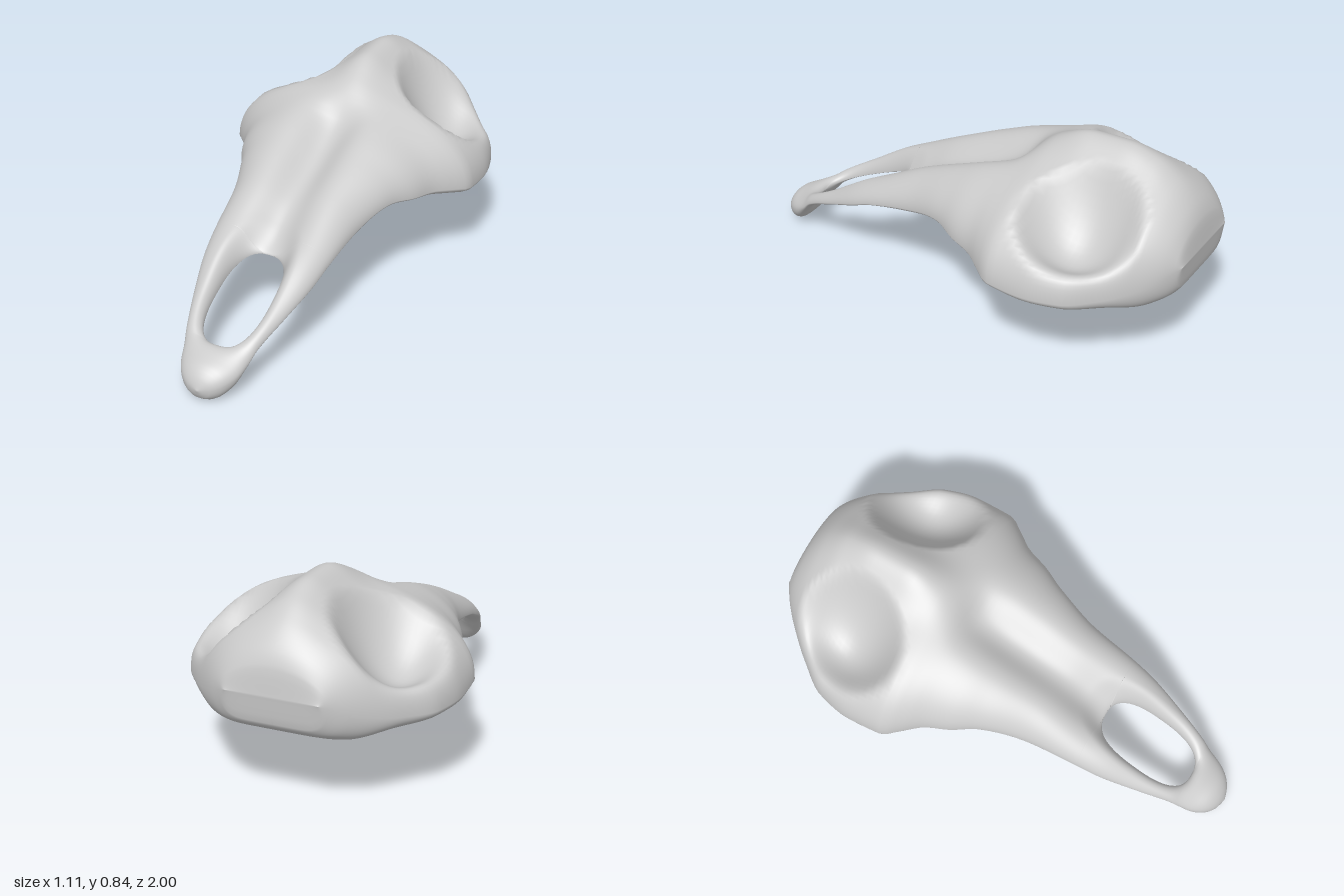
import * as THREE from 'three';
import { mergeVertices } from 'three/addons/utils/BufferGeometryUtils.js';

// Stations along the skull: z, half width, edge height, crown height, side ridge height, underside height
const STATIONS = [
  [1, 0, .06, .06, .06, .06],
  [.985, .05, .065, .10, .10, .02],
  [.95, .095, .08, .14, .14, 0],
  [.9, .125, .10, .165, .165, .02],
  [.85, .14, .13, .19, .205, .08],
  [.8, .157, .175, .21, .25, .14],
  [.65, .205, .25, .28, .335, .222],
  [.5, .245, .315, .335, .43, .288],
  [.4, .26, .355, .365, .48, .335],
  [.2, .285, .41, .475, .58, .38],
  [0, .35, .455, .55, .655, .43],
  [-.1, .405, .44, .59, .69, .42],
  [-.2, .445, .43, .645, .715, .395],
  [-.28, .505, .415, .735, .728, .375],
  [-.35, .55, .40, .785, .742, .36],
  [-.5, .555, .39, .84, .75, .335],
  [-.65, .525, .39, .842, .75, .332],
  [-.78, .435, .40, .81, .75, .328],
  [-.87, .355, .42, .755, .725, .313],
  [-.94, .28, .45, .685, .675, .335],
  [-.985, .215, .48, .60, .60, .375],
  [-1, .19, .49, .49, .49, .49],
];
const HOLE = { front: .83, back: .41, halfWidth: .12, power: 2.6 };
const { lerp, clamp, smoothstep } = THREE.MathUtils;

// Smooth interpolation between stations without overshoot
function sample(z, k) {
  const S = STATIONS, last = S.length - 1;
  let i = 0;
  while (i < last - 1 && z < S[i + 1][0]) i++;
  const secant = n => (S[n + 1][k] - S[n][k]) / (S[n + 1][0] - S[n][0]);
  const slope = n => {
    if (n === 0) return secant(0);
    if (n === last) return secant(last - 1);
    const a = secant(n - 1), b = secant(n);
    return a * b > 0 ? 2 * a * b / (a + b) : 0;
  };
  const h = S[i + 1][0] - S[i][0], t = (z - S[i][0]) / h, t2 = t * t, t3 = t2 * t;
  return (2 * t3 - 3 * t2 + 1) * S[i][k] + (t3 - 2 * t2 + t) * h * slope(i)
    + (3 * t2 - 2 * t3) * S[i + 1][k] + (t3 - t2) * h * slope(i + 1);
}

const holeU = z => (z - (HOLE.front + HOLE.back) / 2) / ((HOLE.front - HOLE.back) / 2);

function holeHalfWidth(z) {
  const p = HOLE.power;
  return HOLE.halfWidth * Math.pow(Math.max(0, 1 - Math.pow(Math.abs(holeU(z)), p)), 1 / p);
}

// Eye socket: a tilted oval bowl sunk into each side of the cranium
function socketDepth(x, z) {
  const dx = x - .32, dz = z + .62, c = Math.cos(.3), s = Math.sin(.3);
  const a = (dx * c - dz * s) / .215, b = (dx * s + dz * c) / .25;
  return .215 * Math.pow(clamp(1 - a * a - b * b, 0, 1), 1.15);
}

// Upper and lower surface heights at fraction t from the inner to the outer edge
function section(z, t) {
  const [W, E, crown, ridge, under] = [1, 2, 3, 4, 5].map(k => sample(z, k));
  const inner = holeHalfWidth(z), x = lerp(inner, W, t), s = W > 0 ? Math.min(1, x / W) : 1;
  const dome = Math.sqrt(Math.max(0, 1 - s * s));
  let top = E + (ridge - E) * dome + (crown - ridge) * Math.exp(-Math.pow(x / .115, 2)) * (1 - s ** 4);
  // The underside is round at the tip and flat with a full rim under the cranium
  const flatness = lerp(7, 2.2, smoothstep(z, -.1, .9));
  const bottom = E + (under - E) * Math.sqrt(Math.max(0, 1 - Math.pow(s, flatness)));
  top = Math.max(bottom, top - socketDepth(x, z) * (1 - s ** 8));

  // Round both surfaces together at the rim of the nasal opening
  const p = HOLE.power;
  const g = Math.pow(Math.pow(x / HOLE.halfWidth, p) + Math.pow(Math.abs(holeU(z)), p), 1 / p);
  const d = clamp((g - 1) * .15 / .07, 0, 1);
  const round = Math.sqrt(1 - (1 - d) * (1 - d));
  const rim = lerp(.338, .155, clamp((HOLE.back - z) / (HOLE.back - HOLE.front), 0, 1));
  return { x, top: lerp(rim, top, round), bottom: lerp(rim, bottom, round) };
}

function skullGeometry() {
  // Rows are dense at the tip, at both ends of the opening and at the back
  const rows = [];
  const ease = t => (1 - Math.cos(Math.PI * t)) / 2;
  for (const [from, to, n] of [[1, HOLE.front, 16], [HOLE.front, HOLE.back, 28], [HOLE.back, -1, 80]])
    for (let i = rows.length ? 1 : 0; i <= n; i++) rows.push(lerp(from, to, ease(i / n)));

  const N = 36, positions = [], index = [];
  for (const side of [1, -1]) {
    for (const surface of ['top', 'bottom']) {
      const start = positions.length / 3;
      const flip = (side < 0) !== (surface === 'bottom');
      rows.forEach((z, i) => {
        for (let j = 0; j <= N; j++) {
          const p = section(z, ease(j / N));
          positions.push(side * p.x, p[surface], z);
          if (i === 0 || j === 0) continue;
          const d = start + i * (N + 1) + j, c = d - 1, b = d - N - 1, a = b - 1;
          if (flip) index.push(a, c, b, b, c, d);
          else index.push(a, b, c, b, d, c);
        }
      });
    }
  }
  const geometry = new THREE.BufferGeometry();
  geometry.setAttribute('position', new THREE.Float32BufferAttribute(positions, 3));
  geometry.setIndex(index);
  const merged = mergeVertices(geometry, 1e-5);
  merged.computeVertexNormals();
  return merged;
}

export function createModel() {
  const model = new THREE.Group();
  model.name = 'animalSkull';
  const material = new THREE.MeshStandardMaterial({ color: 0xcccccc, side: THREE.DoubleSide });
  const skull = new THREE.Mesh(skullGeometry(), material);
  skull.name = 'skull';
  model.add(skull);
  return model;
}
